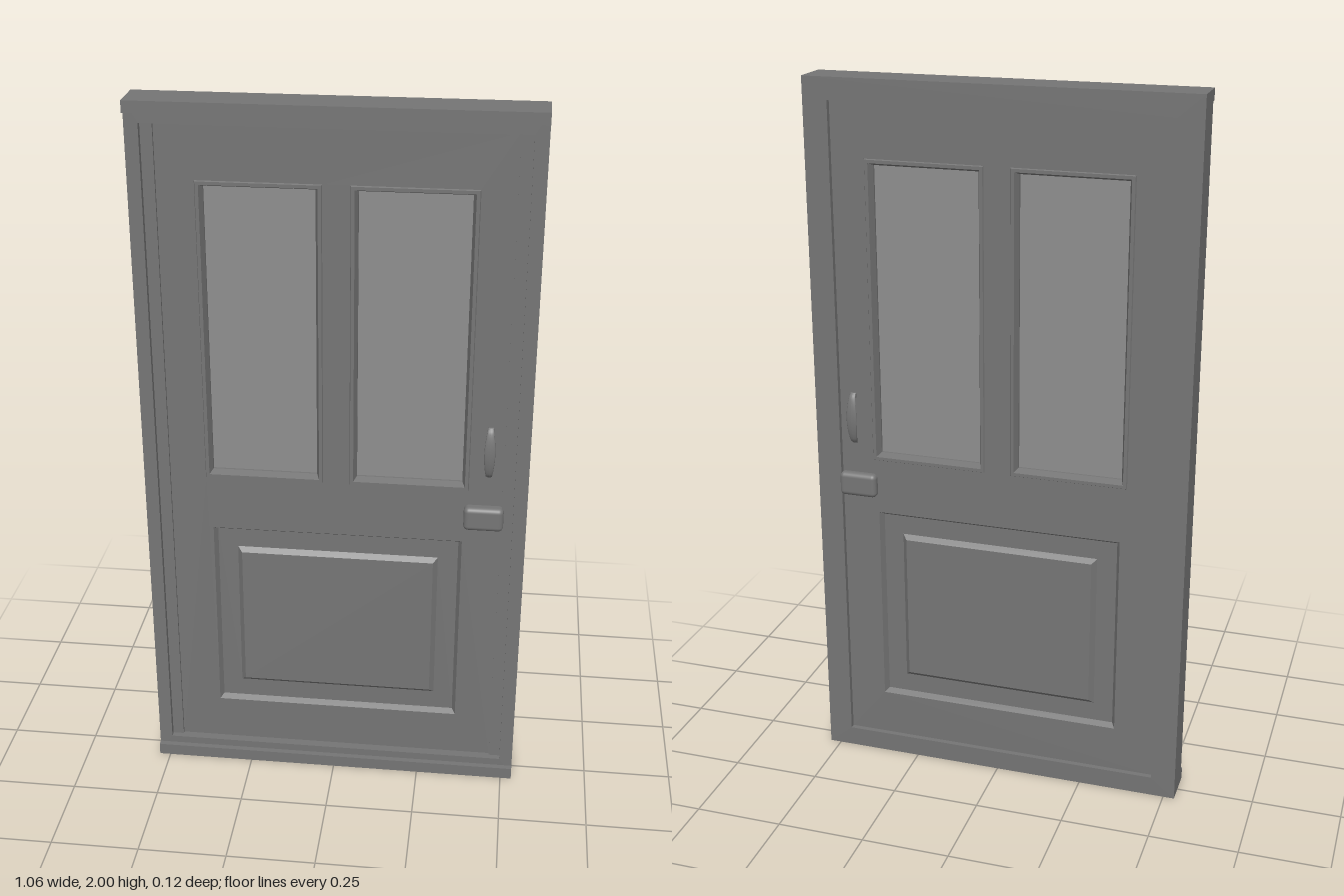
import * as THREE from 'three';
import { RoundedBoxGeometry } from 'three/addons/geometries/RoundedBoxGeometry.js';

const paint = new THREE.MeshStandardMaterial({ color: 0x757575 });
const glass = new THREE.MeshStandardMaterial({ color: 0x8e8e8e });

// Openings in the door leaf: [x0, y0, x1, y1]
const windows = [[-0.363, 0.938, -0.033, 1.79], [0.04, 0.938, 0.37, 1.79]];
const panel = [-0.347, 0.19, 0.357, 0.778];
const leafOutline = [-0.463, 0.057, 0.463, 1.94];
const leafZ = -0.0065, leafHalf = 0.0285;

function mesh(name, geometry, x = 0, y = 0, z = 0, material = paint) {
  const m = new THREE.Mesh(geometry, material);
  m.name = name;
  m.position.set(x, y, z);
  return m;
}

// Flat rectangular sheet with rectangular holes, from z0 to z1
function sheet(name, [x0, y0, x1, y1], holes, z0, z1) {
  const corners = (a, b, c, d) =>
    [[a, b], [c, b], [c, d], [a, d]].map(p => new THREE.Vector2(...p));
  const shape = new THREE.Shape(corners(x0, y0, x1, y1));
  for (const h of holes) shape.holes.push(new THREE.Path(corners(...h)));
  const g = new THREE.ExtrudeGeometry(shape, { depth: z1 - z0, bevelEnabled: false });
  return mesh(name, g, 0, 0, z0);
}

// Mitred moulding: rectangle loops joined along a profile of [inset, z]
function moulding(name, w, h, profile, capped) {
  const loops = profile.map(([inset, z]) => {
    const a = w / 2 - inset, b = h / 2 - inset;
    return [[-a, -b, z], [a, -b, z], [a, b, z], [-a, b, z]];
  });
  const pos = [];
  const quad = (a, b, c, d) => pos.push(...a, ...b, ...c, ...a, ...c, ...d);
  for (let k = 0; k + 1 < loops.length; k++) {
    for (let i = 0; i < 4; i++) {
      const j = (i + 1) % 4;
      quad(loops[k][i], loops[k][j], loops[k + 1][j], loops[k + 1][i]);
    }
  }
  if (capped) quad(...loops[loops.length - 1]);
  const g = new THREE.BufferGeometry();
  g.setAttribute('position', new THREE.Float32BufferAttribute(pos, 3));
  g.computeVertexNormals();
  return mesh(name, g);
}

// Bowed pull handle, widest at the middle, standing off +z
function pullHandle() {
  const group = new THREE.Group();
  group.name = 'pullHandle';
  const length = 0.148;
  const g = new THREE.CylinderGeometry(1, 1, length, 16, 20);
  const p = g.attributes.position;
  for (let i = 0; i < p.count; i++) {
    const bulge = Math.cos(Math.PI * p.getY(i) / length);
    p.setX(i, p.getX(i) * (0.008 + 0.007 * bulge));
    p.setZ(i, p.getZ(i) * 0.0035 + 0.002 + 0.0195 * Math.sqrt(Math.max(bulge, 0)));
  }
  g.computeVertexNormals();
  group.add(mesh('grip', g));
  for (const s of [-1, 1]) {
    group.add(mesh('handleFoot', new THREE.BoxGeometry(0.016, 0.012, 0.008), 0, s * 0.066, 0.003));
  }
  return group;
}

// Everything on one face of the leaf; side is 1 for front, -1 for back
function leafFace(side) {
  const face = new THREE.Group();
  face.name = side > 0 ? 'frontFace' : 'backFace';
  face.position.z = leafZ;
  if (side < 0) face.rotation.y = Math.PI;
  const place = (part, [x0, y0, x1, y1]) => {
    part.position.set(side * (x0 + x1) / 2, (y0 + y1) / 2, 0);
    face.add(part);
  };
  const f = leafHalf;
  // Raised bead falling to the pane
  for (const r of windows) {
    place(moulding('windowMoulding', r[2] - r[0], r[3] - r[1],
      [[0, f], [0.002, f + 0.004], [0.011, f + 0.004], [0.019, f - 0.018], [0.019, 0]], false), r);
  }
  // Recessed margin around a raised field
  place(moulding('raisedPanel', panel[2] - panel[0], panel[3] - panel[1],
    [[0, f], [0.01, f - 0.016], [0.066, f - 0.016], [0.079, f - 0.003]], true), panel);

  const handle = pullHandle();
  handle.position.set(side * 0.423, 1.06, f);
  face.add(handle);
  const depth = side > 0 ? 0.028 : 0.021;
  face.add(mesh('lockCase', new RoundedBoxGeometry(0.11, 0.07, depth + 0.012, 4, 0.014),
    side * 0.414, 0.861, f + (depth - 0.012) / 2));
  return face;
}

export function createModel() {
  const model = new THREE.Group();
  model.name = 'door';

  // Frame: a rebated surround with projecting head and sill
  const frame = new THREE.Group();
  frame.name = 'frame';
  const outer = [-0.532, 0, 0.532, 2];
  frame.add(
    sheet('frameBack', outer, [leafOutline], -0.05, 0.03),
    sheet('frameFront', outer, [[-0.495, 0.057, 0.495, 1.94]], 0.03, 0.047),
    mesh('head', new THREE.BoxGeometry(1.064, 0.032, 0.016), 0, 1.984, 0.055),
    mesh('sill', new THREE.BoxGeometry(1.064, 0.035, 0.016), 0, 0.0175, 0.055)
  );

  // Leaf with its window panes and two worked faces
  const leaf = new THREE.Group();
  leaf.name = 'leaf';
  leaf.add(sheet('leafSlab', leafOutline, [...windows, panel],
    leafZ - leafHalf, leafZ + leafHalf));
  for (const [x0, y0, x1, y1] of windows) {
    leaf.add(mesh('windowPane', new THREE.BoxGeometry(x1 - x0 - 0.02, y1 - y0 - 0.02, 0.008),
      (x0 + x1) / 2, (y0 + y1) / 2, leafZ, glass));
  }
  leaf.add(leafFace(1), leafFace(-1));

  model.add(frame, leaf);
  return model;
}
